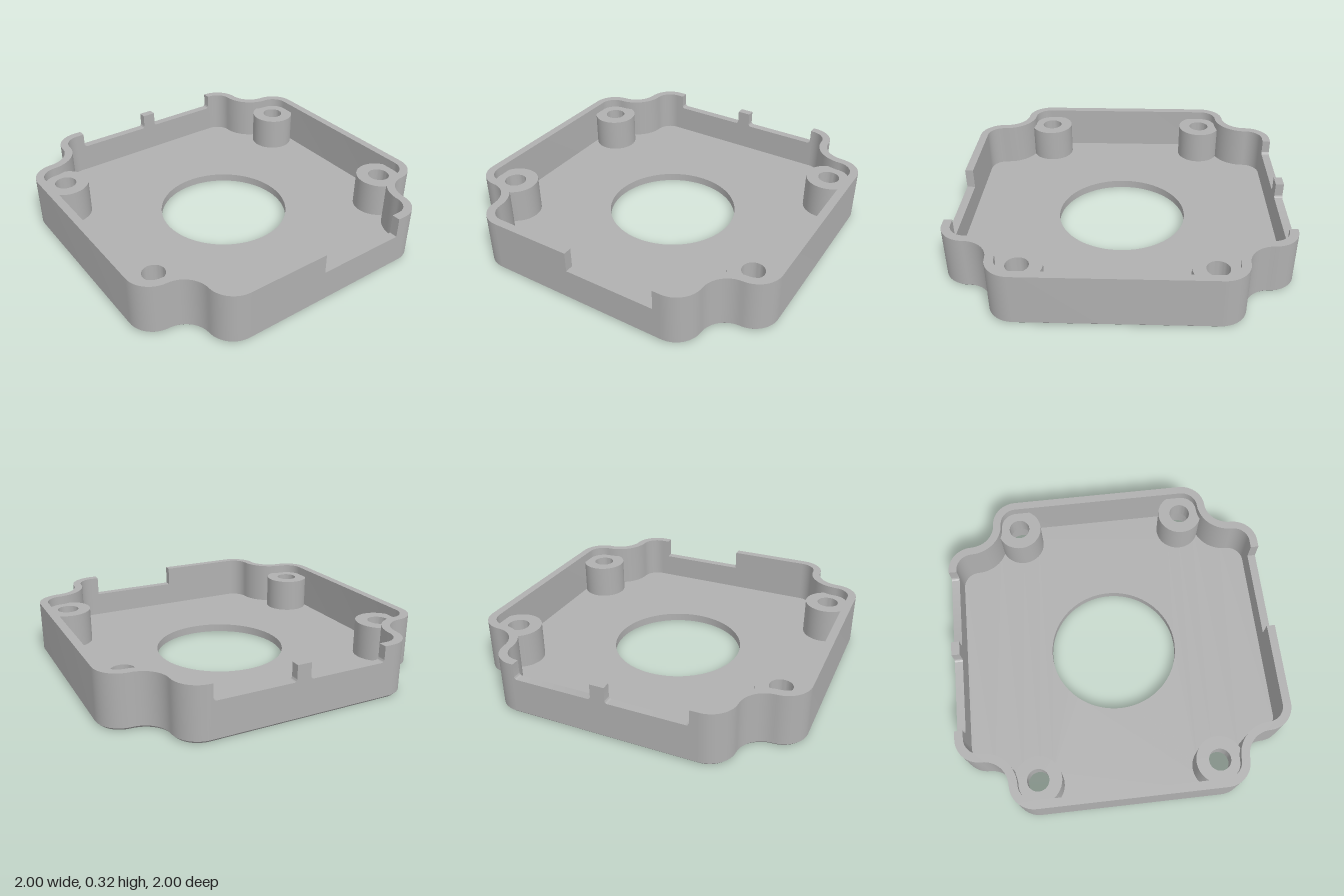
import * as THREE from 'three';
import { toCreasedNormals } from 'three/addons/utils/BufferGeometryUtils.js';

const HEIGHT = 0.32, FLOOR = 0.05, WALL = 0.05, CHAMFER = 0.015;
const BOSS_X = 0.83, BOSS_Z = 0.535, BORE = 0.107;

// Points of one circular arc, angles in quarter turns
function arc(cx, cy, r, from, to, steps = 14) {
  return Array.from({ length: steps + 1 }, (_, i) => {
    const a = (from + (to - from) * i / steps) * Math.PI / 2;
    return new THREE.Vector2(cx + r * Math.cos(a), cy + r * Math.sin(a));
  });
}

// The +x end of the cross-shaped outline, inset by d
function endOutline(d) {
  const quarter = [
    ...arc(0.85, 0.55, 0.15 - d, 0, 1),
    ...arc(0.85, 0.85, 0.15 + d, -1, -2).slice(1),
    ...arc(0.55, 0.85, 0.15 - d, 0, 1).slice(1),
  ];
  const mirrored = quarter.map(p => new THREE.Vector2(p.x, -p.y)).reverse();
  return [...mirrored, ...quarter];
}

function fullOutline(d) {
  const end = endOutline(d);
  return [...end, ...end.map(p => new THREE.Vector2(-p.x, -p.y))];
}

function extrude(shape, depth) {
  const geo = new THREE.ExtrudeGeometry(shape, { depth, bevelEnabled: false, curveSegments: 48 });
  return toCreasedNormals(geo, 0.5);
}

// Extrudes a plan shape upwards from height y
function extrudeUp(shape, y, depth) {
  return extrude(shape, depth).rotateX(-Math.PI / 2).translate(0, y, 0);
}

// Straight wall panel with notches [left, right, bottom, fillet radius] cut from its top edge
function panel(notches, z) {
  const s = new THREE.Shape();
  s.moveTo(0.55, CHAMFER);
  s.lineTo(0.55, HEIGHT);
  for (const [l, r, b, f] of notches) {
    s.lineTo(r, HEIGHT);
    s.lineTo(r, b + f);
    if (f) s.quadraticCurveTo(r, b, r - f, b);
    s.lineTo(l + f, b);
    if (f) s.quadraticCurveTo(l, b, l, b + f);
    s.lineTo(l, HEIGHT);
  }
  s.lineTo(-0.55, HEIGHT);
  s.lineTo(-0.55, CHAMFER);
  s.closePath();
  return extrude(s, WALL).translate(0, 0, z);
}

// Sloped band round the bottom edge
function chamferBand() {
  const low = fullOutline(CHAMFER), high = fullOutline(0), n = low.length;
  const pos = [], idx = [];
  for (let i = 0; i < n; i++) {
    pos.push(low[i].x, 0, -low[i].y, high[i].x, CHAMFER, -high[i].y);
    const a = 2 * i, b = 2 * ((i + 1) % n);
    idx.push(a, b, b + 1, a, b + 1, a + 1);
  }
  const geo = new THREE.BufferGeometry();
  geo.setAttribute('position', new THREE.Float32BufferAttribute(pos, 3));
  geo.setIndex(idx);
  geo.computeVertexNormals();
  return geo;
}

export function createModel() {
  const model = new THREE.Group();
  model.name = 'housingTray';
  const grey = new THREE.MeshStandardMaterial({ color: 0xb0b0b0 });
  grey.name = 'grey';
  const add = (name, geo) => {
    const mesh = new THREE.Mesh(geo, grey);
    mesh.name = name;
    model.add(mesh);
    return mesh;
  };

  // Floor with the large centre opening and four screw bores
  const floor = new THREE.Shape(fullOutline(CHAMFER));
  const hole = (x, y, r) => floor.holes.push(new THREE.Path().absarc(x, y, r, 0, Math.PI * 2, true));
  hole(0, 0, 0.4);
  for (const sx of [-1, 1]) for (const sz of [-1, 1]) hole(sx * BOSS_X, sz * BOSS_Z, BORE);
  add('floor', extrudeUp(floor, 0, FLOOR));
  add('bottomChamfer', chamferBand());

  // Curved end walls, one turned to make the other
  const ring = new THREE.Shape([...endOutline(0), ...endOutline(WALL).reverse()]);
  const endWall = extrudeUp(ring, CHAMFER, HEIGHT - CHAMFER);
  add('leftWall', endWall);
  add('rightWall', endWall).rotation.y = Math.PI;

  // Notched front and back walls
  add('frontWall', panel([[-0.05, 0.5, 0.2, 0]], 1 - WALL));
  add('backWall', panel([[0.06, 0.535, 0.225, 0.02], [-0.5, -0.025, 0.225, 0.02]], -1));

  // Screw bosses, counterbored from below
  const profile = [
    [0.14, 0.03], [0.14, 0.265], [0.065, 0.265], [0.065, 0.16], [BORE, 0.16], [BORE, FLOOR],
  ].map(([r, y]) => new THREE.Vector2(r, y));
  const boss = toCreasedNormals(new THREE.LatheGeometry(profile, 48), 0.5);
  for (const sx of [-1, 1]) for (const sz of [-1, 1]) {
    add('screwBoss', boss).position.set(sx * BOSS_X, 0, sz * BOSS_Z);
  }
  return model;
}
